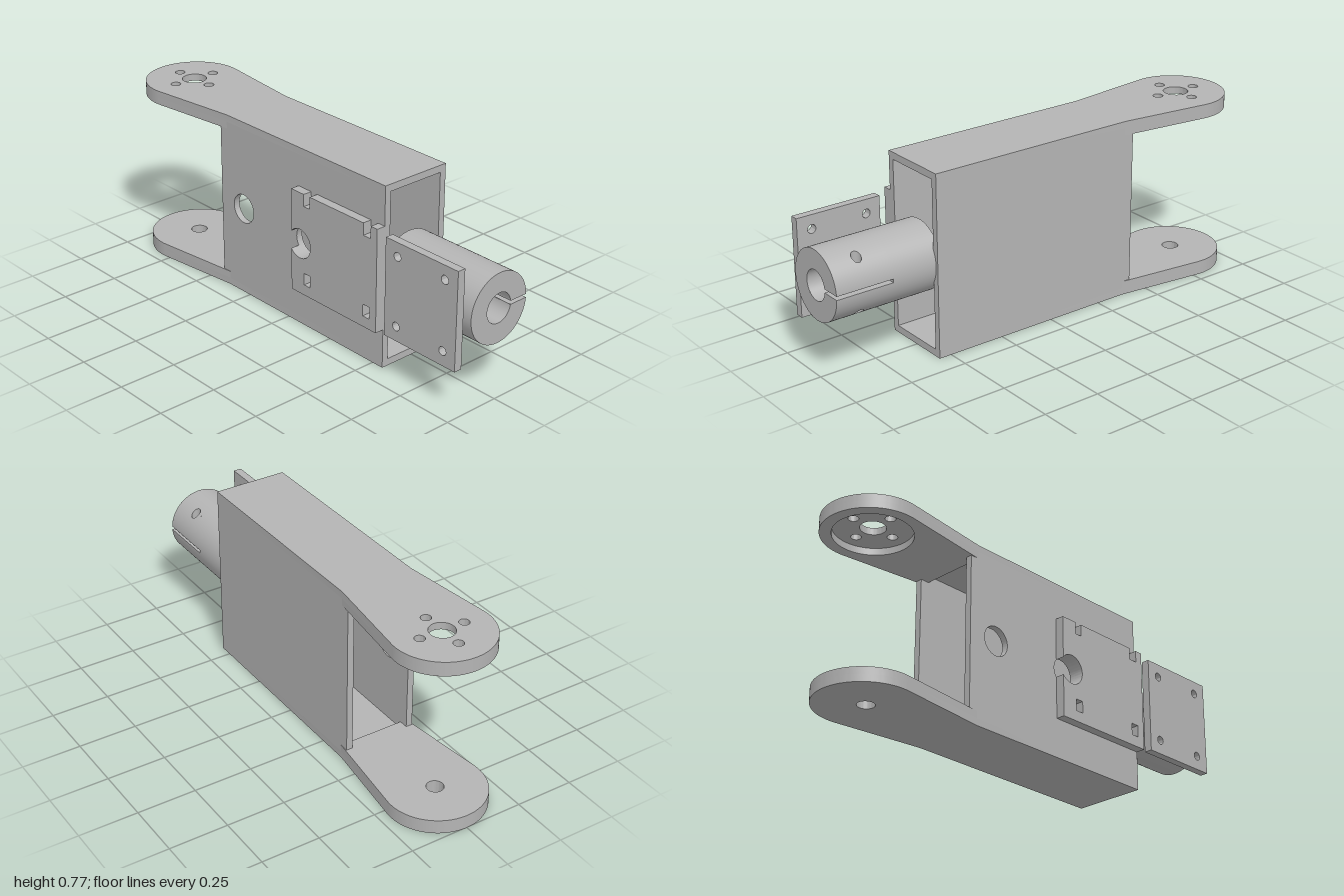
import * as THREE from 'three';
import { toCreasedNormals } from 'three/addons/utils/BufferGeometryUtils.js';
import { ParametricGeometry } from 'three/addons/geometries/ParametricGeometry.js';

const grey = new THREE.MeshStandardMaterial({ color: 0xb4b4b4, side: THREE.DoubleSide });
grey.name = 'plain grey';

const MID = 0.388;   // height of the tube axis
const HEAD = -0.795; // x of the round arm heads

function add(parent, name, geometry) {
  const mesh = new THREE.Mesh(geometry, grey);
  mesh.name = name;
  parent.add(mesh);
  return mesh;
}

function polygon(points) {
  return new THREE.Shape(points.map(([x, y]) => new THREE.Vector2(x, y)));
}

function rect(x0, y0, x1, y1) {
  return polygon([[x0, y0], [x1, y0], [x1, y1], [x0, y1]]);
}

function punch(shape, x, y, r) {
  shape.holes.push(new THREE.Path().absarc(x, y, r, 0, Math.PI * 2, true));
  return shape;
}

function extrude(shape, depth) {
  const g = new THREE.ExtrudeGeometry(shape, { depth, bevelEnabled: false, curveSegments: 40 });
  return toCreasedNormals(g, 0.5);
}

// Upright plate, extruded towards the front
const upright = (shape, z0, z1) => extrude(shape, z1 - z0).translate(0, 0, z0);

// Level slab, extruded upwards
const level = (shape, y0, y1) => extrude(shape, y1 - y0).rotateX(-Math.PI / 2).translate(0, y0, 0);

// Arm outline: round head, tapering into a straight strip
function armShape(endX) {
  const a = 1.45, r = 0.207;
  const s = new THREE.Shape();
  s.moveTo(endX, -0.158);
  s.lineTo(endX, 0.158);
  s.lineTo(-0.38, 0.158);
  s.absarc(HEAD, 0, r, a, Math.PI * 2 - a, false);
  s.lineTo(-0.38, -0.158);
  return s;
}

function buildArms(group) {
  // Upper arm: bolt pattern above a round recess for the horn
  const top = punch(armShape(0.555), HEAD, 0, 0.052);
  for (let i = 0; i < 4; i++) {
    const a = i * Math.PI / 2;
    punch(top, HEAD + 0.1 * Math.cos(a), 0.1 * Math.sin(a), 0.021);
  }
  add(group, 'upperArm', level(top, 0.745, 0.775));
  add(group, 'upperArmRecess', level(punch(armShape(-0.38), HEAD, 0, 0.16), 0.715, 0.745));
  // Lower arm: one pivot hole
  add(group, 'lowerArm', level(punch(armShape(0.555), HEAD, 0, 0.035), 0, 0.03));
  add(group, 'lowerArmThickening', level(punch(armShape(-0.38), HEAD, 0, 0.035), 0.03, 0.06));
}

function buildWalls(group) {
  const front = rect(-0.42, 0.03, 0.555, 0.745);
  punch(front, -0.28, MID, 0.063);
  punch(front, 0.115, MID, 0.063);
  add(group, 'frontWall', upright(front, 0.13, 0.158));
  add(group, 'backWall', upright(rect(-0.42, 0.03, 0.555, 0.745), -0.158, -0.13));
}

function buildPlates(group) {
  // Mounting pad: two notches in the top edge, a bite on the left, two slots below
  const bite = Math.acos(-0.05 / 0.063);
  const pad = polygon([[0.065, 0.168], [0.555, 0.168], [0.555, 0.61], [0.52, 0.61], [0.52, 0.558],
    [0.48, 0.558], [0.48, 0.61], [0.175, 0.61], [0.175, 0.558], [0.14, 0.558], [0.14, 0.61], [0.065, 0.61]]);
  pad.absarc(0.115, MID, 0.063, bite, -bite, true);
  for (const x of [0.14, 0.482]) pad.holes.push(rect(x, 0.214, x + 0.037, 0.265));
  add(group, 'mountingPad', upright(pad, 0.158, 0.197));

  // Loose cover plate with four screw holes
  const cover = rect(0.602, 0.181, 0.975, 0.596);
  for (const x of [0.665, 0.91]) for (const y of [0.243, 0.537]) punch(cover, x, y, 0.018);
  add(group, 'coverPlate', upright(cover, 0.162, 0.197));
}

function surface(fn, nu, nv) {
  return new ParametricGeometry((u, v, p) => p.set(...fn(u, v)), nu, nv);
}

function buildTube(group) {
  const tube = new THREE.Group();
  tube.name = 'clampTube';
  tube.position.y = MID;
  group.add(tube);
  const R = 0.147, r = 0.063, X0 = 0.53, XS = 0.75, X1 = 1, PI = Math.PI;
  const gap = 0.0075, dR = Math.asin(gap / R), dr = Math.asin(gap / r);
  const hx = 0.875, hz = -0.09, hr = 0.02, half = 0.04;
  const a0 = Math.asin((-hz - half) / R), a1 = Math.asin((-hz + half) / R);

  // Piece of a cylinder around x; angles run from the top towards the back
  const shell = (name, rad, xa, xb, aa, ab) => add(tube, name, surface((u, v) => {
    const a = aa + (ab - aa) * v;
    return [xa + (xb - xa) * u, rad * Math.cos(a), -rad * Math.sin(a)];
  }, 1, Math.max(4, Math.ceil((ab - aa) * 12))));

  shell('tubeOuter', R, X0, XS, 0, 2 * PI);
  shell('tubeOuterSplit', R, XS, X1, PI - a0, 2 * PI + a0);
  shell('tubeBore', r, XS, X0, 0, 2 * PI);
  shell('tubeBoreSplit', r, X1, XS, PI / 2 + dr, 2.5 * PI - dr);

  for (const s of [1, -1]) {
    const band = (name, xa, xb, aa, ab) => s > 0
      ? shell(name, R, xa, xb, aa, ab) : shell(name, R, xa, xb, PI - ab, PI - aa);
    band('tubeLip', XS, X1, a1, PI / 2 - dR);
    band('tubeBandInner', XS, hx - half, a0, a1);
    band('tubeBandOuter', hx + half, X1, a0, a1);

    // Curved patch around the screw hole, then the wall of the hole
    add(tube, 'screwHoleRim', surface((u, v) => {
      const c = Math.cos(2 * PI * u * s), n = Math.sin(2 * PI * u * s);
      const k = hr + (half / Math.max(Math.abs(c), Math.abs(n)) - hr) * v;
      const z = hz + k * n;
      return [hx + k * c, s * Math.sqrt(R * R - z * z), z];
    }, 48, 5));
    add(tube, 'screwHoleWall', surface((u, v) => {
      const t = 2 * PI * u * s, z = hz + hr * Math.sin(t);
      return [hx + hr * Math.cos(t), s * (gap + (Math.sqrt(R * R - z * z) - gap) * v), z];
    }, 48, 1));

    // Faces of the slit
    const face = punch(rect(XS, r, X1, R), hx, -hz, hr);
    add(tube, 'slitFace', new THREE.ShapeGeometry(face, 32).rotateX(-PI / 2).translate(0, s * gap, 0));
  }
  add(tube, 'slitEnd', new THREE.PlaneGeometry(R - r, 2 * gap).rotateY(PI / 2).translate(XS, 0, -(R + r) / 2));

  // End rings
  const split = new THREE.Shape();
  split.absarc(0, 0, R, dR, 2 * PI - dR, false);
  split.absarc(0, 0, r, 2 * PI - dr, dr, true);
  add(tube, 'outerEnd', new THREE.ShapeGeometry(split, 72).rotateY(PI / 2).translate(X1, 0, 0));
  add(tube, 'innerEnd', new THREE.RingGeometry(r, R, 72).rotateY(-PI / 2).translate(X0, 0, 0));
}

export function createModel() {
  const model = new THREE.Group();
  model.name = 'armLink';
  buildArms(model);
  buildWalls(model);
  buildPlates(model);
  buildTube(model);
  return model;
}
